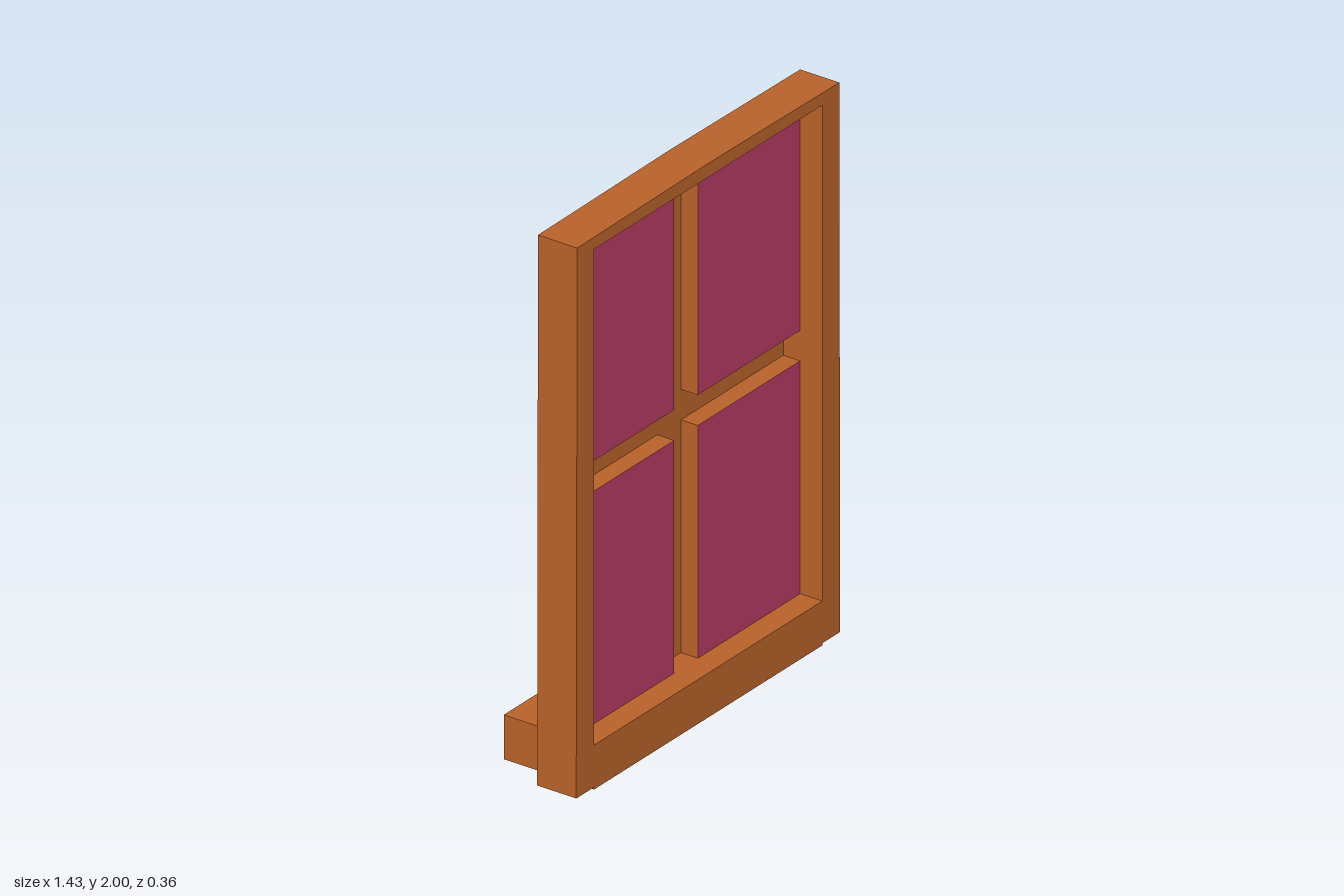
import * as THREE from 'three';

const wood = new THREE.MeshStandardMaterial({ color: 0xb8622a, flatShading: true });
const thinWood = new THREE.MeshStandardMaterial({ color: 0xb8622a, flatShading: true, side: THREE.DoubleSide });
const glass = new THREE.MeshStandardMaterial({ color: 0xb83a66, flatShading: true, side: THREE.DoubleSide });

const W = 0.62, BOTTOM = 0.16, TOP = 1.95;   // window opening
const M = 0.064, BAR0 = 1.0, BAR1 = 1.11;    // glazing bars
const BACK = 0.025, PANE = 0.092, FRONT = 0.18;

const outline = (pts) => new THREE.Shape(pts.map(([x, y]) => new THREE.Vector2(x, y)));

export function createModel() {
  const model = new THREE.Group();
  const add = (name, geometry, material, x = 0, y = 0, z = 0) => {
    const mesh = new THREE.Mesh(geometry, material);
    mesh.name = name;
    mesh.position.set(x, y, z);
    model.add(mesh);
    return mesh;
  };

  // Outer frame, very slightly crowned at the top and stepped at the feet
  const right = [[W, 0], [W, 0.008], [0.717, 0.008], [0.712, 1.993]];
  const left = right.map(([x, y]) => [-x, y]).reverse();
  const frame = outline([...right, [0, 2], ...left]);
  frame.holes.push(outline([[-W, BOTTOM], [-W, TOP], [W, TOP], [W, BOTTOM]]));
  add('frame', new THREE.ExtrudeGeometry(frame, { depth: FRONT - BACK, bevelEnabled: false }), wood, 0, 0, BACK);

  // Sill behind the frame
  add('sill', new THREE.BoxGeometry(2 * W, BOTTOM, BACK + 0.178), wood, 0, BOTTOM / 2, (BACK - 0.178) / 2);

  // Face of the crossed glazing bars, flush with the back of the frame
  const cross = outline([
    [-M, BOTTOM], [M, BOTTOM], [M, BAR0], [W, BAR0], [W, BAR1], [M, BAR1],
    [M, TOP], [-M, TOP], [-M, BAR1], [-W, BAR1], [-W, BAR0], [-M, BAR0],
  ]);
  add('glazingBars', new THREE.ShapeGeometry(cross), thinWood, 0, 0, BACK);

  // Four panes, each with the bar sides that run back from its edges
  const depth = PANE - BACK, midZ = (PANE + BACK) / 2, width = W - M;
  for (const side of [-1, 1]) {
    for (const [y0, y1, barY] of [[BOTTOM, BAR0, BAR0], [BAR1, TOP, BAR1]]) {
      const x = side * (W + M) / 2, y = (y0 + y1) / 2, height = y1 - y0;
      add('pane', new THREE.PlaneGeometry(width, height), glass, x, y, PANE);
      add('mullionSide', new THREE.PlaneGeometry(depth, height), thinWood, side * M, y, midZ).rotation.y = Math.PI / 2;
      add('crossbarSide', new THREE.PlaneGeometry(width, depth), thinWood, x, barY, midZ).rotation.x = Math.PI / 2;
    }
  }
  return model;
}
